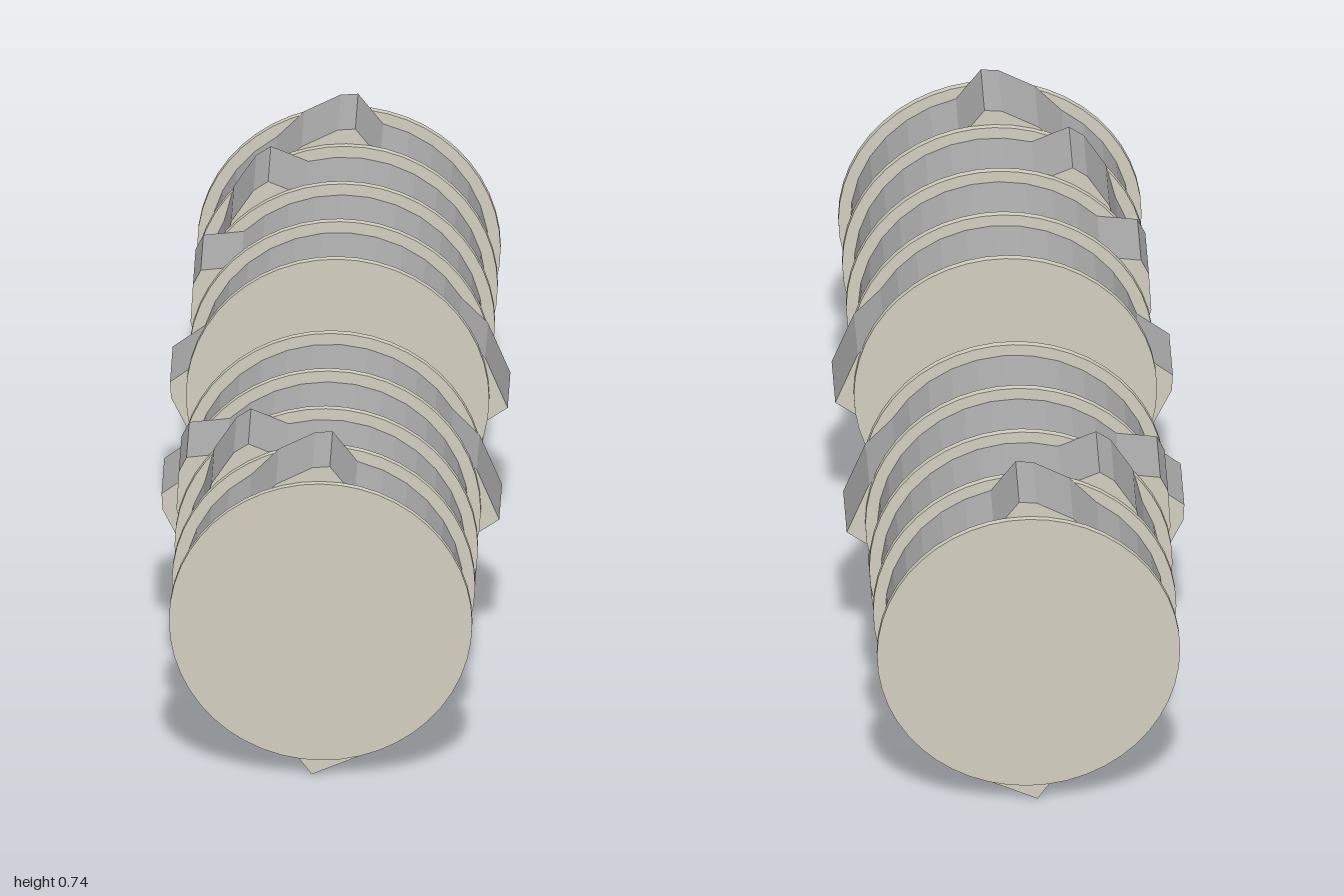
import * as THREE from 'three';

const AXIS_Y = 0.373;   // height of the drum axis
const BASE_R = 0.306;   // cam base radius
const DISC_R = 0.332;
const PITCH = 0.199;    // spacing between discs
const FIRST = 0.197;    // first disc from the middle

const grey = new THREE.MeshStandardMaterial({ color: 0xa6a6a6 });
const beige = new THREE.MeshStandardMaterial({ color: 0xd2cebf });

// Two-lobed cam outline: each lobe is a steep step followed by a gentle ramp.
function camShape(phase) {
  const lobes = [
    [[-11, BASE_R], [0, 0.368], [6, 0.365], [20, 0.338], [34, BASE_R]],
    [[-11, BASE_R], [0, 0.373], [20, 0.336], [34, BASE_R]],
  ];
  const pts = [];
  lobes.forEach((lobe, i) => {
    const start = phase + i * 180;
    const add = (deg, r) => {
      const a = THREE.MathUtils.degToRad(start + deg);
      pts.push(new THREE.Vector2(r * Math.cos(a), r * Math.sin(a)));
    };
    lobe.forEach(([deg, r]) => add(deg, r));
    for (let k = 1; k < 12; k++) add(34 + k * 135 / 12, BASE_R);
  });
  return new THREE.Shape(pts);
}

function disc(z) {
  const g = new THREE.CylinderGeometry(DISC_R, DISC_R, 0.016, 48);
  g.rotateX(Math.PI / 2);
  const m = new THREE.Mesh(g, beige);
  m.name = 'divider disc';
  m.position.set(0, AXIS_Y, z);
  return m;
}

function cam(z, phase) {
  const depth = PITCH - 0.012;
  const g = new THREE.ExtrudeGeometry(camShape(phase), { depth, bevelEnabled: false });
  g.translate(0, 0, -depth / 2);
  const m = new THREE.Mesh(g, [beige, grey]);
  m.name = 'cam';
  m.position.set(0, AXIS_Y, z);
  return m;
}

export function createModel() {
  const model = new THREE.Group();
  model.name = 'camDrum';

  // Front and back drums: five discs with four cams, each turned 30 degrees further
  for (const side of [1, -1]) {
    const drum = new THREE.Group();
    drum.name = side > 0 ? 'frontDrum' : 'backDrum';
    for (let i = 0; i < 5; i++) {
      drum.add(disc(side * (FIRST + i * PITCH - 0.001)));
      if (i < 4) drum.add(cam(side * (FIRST + (i + 0.5) * PITCH - 0.001), 176 - i * 29.7));
    }
    model.add(drum);
  }

  // Rod joining the two drums
  const rodGeo = new THREE.CylinderGeometry(0.037, 0.037, 0.4, 24);
  rodGeo.rotateX(Math.PI / 2);
  const rod = new THREE.Mesh(rodGeo, grey);
  rod.name = 'connecting rod';
  rod.position.y = 0.387;
  model.add(rod);

  return model;
}
